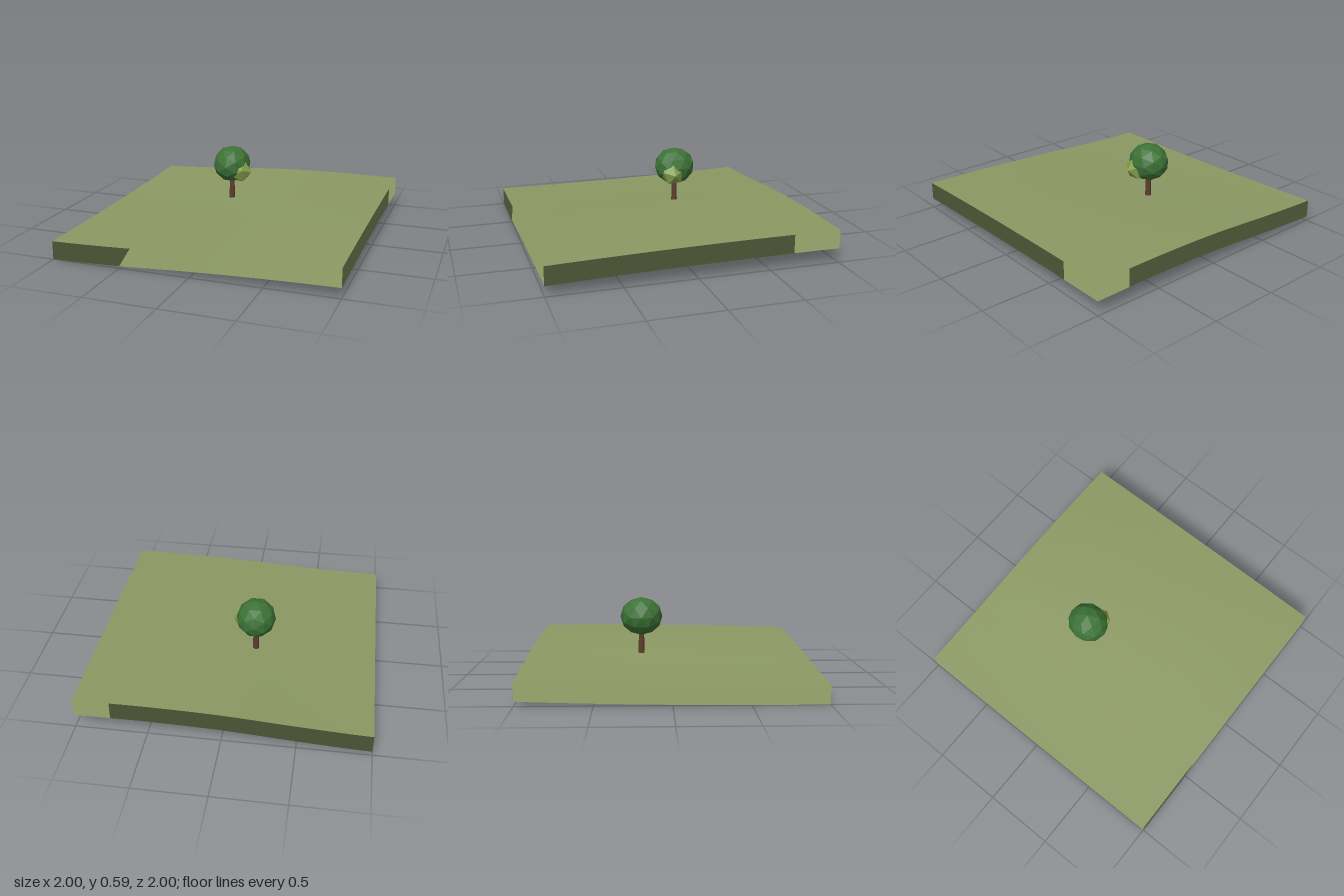
import * as THREE from 'three';

const SKIRT = 0.13;

// Ground height: splines along x at the back, middle and front, blended along z
const rows = [
  [0.03, 0.056, 0.09, 0.103, 0.1],
  [0.004, 0.024, 0.06, 0.088, 0.095],
  [0, 0.014, 0.041, 0.06, 0.07],
].map((heights) => new THREE.SplineCurve(
  heights.map((h, i) => new THREE.Vector2(-1 + i * 0.5, h))));

function groundHeight(x, z) {
  const t = THREE.MathUtils.clamp((x + 1) / 2, 0, 1);
  const [back, mid, front] = rows.map((row) => row.getPoint(t).y);
  return mid + z * (front - back) / 2 + z * z * ((front + back) / 2 - mid);
}

function part(name, geometry, color, options) {
  const mesh = new THREE.Mesh(geometry, new THREE.MeshStandardMaterial({ color, ...options }));
  mesh.name = name;
  return mesh;
}

// Rolling sheet with a skirt, open underneath; the skirt shares the slope's
// normals so the turf shades continuously over the edge
function groundGeometry() {
  const geometry = new THREE.BoxGeometry(2, SKIRT, 2, 24, 1, 24);
  const underside = geometry.groups[3];
  geometry.setIndex(Array.from(geometry.index.array).filter(
    (_, i) => i < underside.start || i >= underside.start + underside.count));
  geometry.clearGroups();

  const { position, normal } = geometry.attributes;
  const n = new THREE.Vector3();
  const e = 0.02;
  for (let i = 0; i < position.count; i++) {
    const x = position.getX(i), z = position.getZ(i);
    position.setY(i, position.getY(i) + SKIRT / 2 + groundHeight(x, z));
    const cx = THREE.MathUtils.clamp(x, -1 + e, 1 - e);
    n.set(
      (groundHeight(cx - e, z) - groundHeight(cx + e, z)) / (2 * e),
      1,
      (groundHeight(x, z - e) - groundHeight(x, z + e)) / (2 * e),
    ).normalize();
    normal.setXYZ(i, n.x, n.y, n.z);
  }
  return geometry;
}

export function createModel() {
  const model = new THREE.Group();
  model.name = 'treeOnHill';
  model.add(part('ground', groundGeometry(), 0x8b9963, { side: THREE.DoubleSide }));

  const tree = new THREE.Group();
  tree.name = 'tree';
  tree.position.set(-0.133, 0, -0.2);
  model.add(tree);

  // Tapered trunk standing on the slope
  const trunk = part('trunk', new THREE.CylinderGeometry(0.018, 0.023, 0.18, 8), 0x5c3d2a, { flatShading: true });
  trunk.position.y = 0.268;
  tree.add(trunk);

  // Round faceted crown
  const crown = part('crown', new THREE.IcosahedronGeometry(1, 1), 0x3c7236, { flatShading: true });
  crown.scale.set(0.14, 0.138, 0.152);
  crown.position.y = 0.453;
  tree.add(crown);

  // Small lighter clump of leaves on the crown's side
  const clump = part('leafClump', new THREE.IcosahedronGeometry(0.09, 0), 0x84a04c, { flatShading: true });
  clump.position.set(0.076, 0.413, 0.037);
  clump.rotation.set(0.4, 0.5, 0);
  tree.add(clump);

  return model;
}
